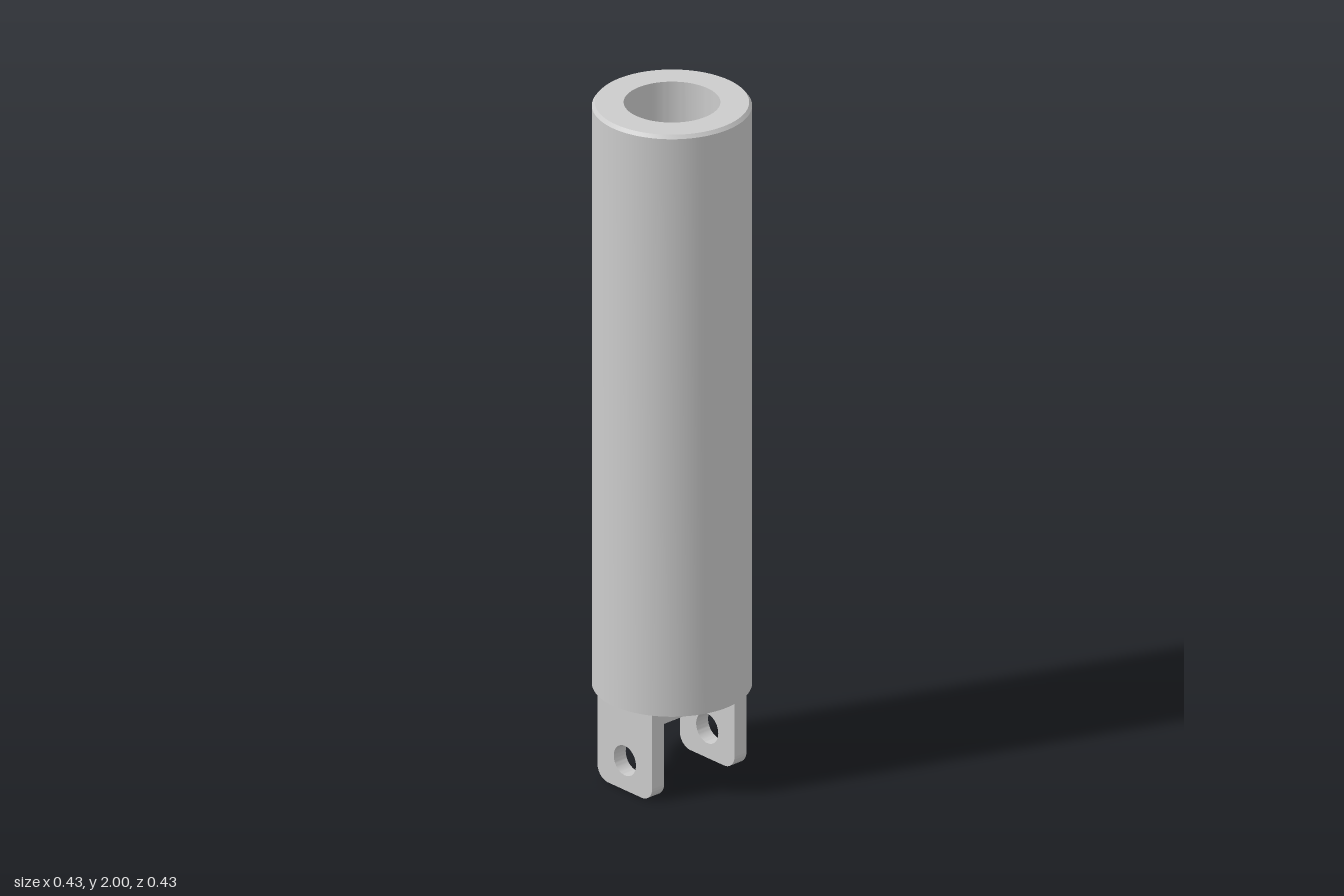
import * as THREE from 'three';
import { toCreasedNormals } from 'three/addons/utils/BufferGeometryUtils.js';

const R = 0.217, BORE = 0.131, HOLE = 0.044;   // barrel, bore and bolt hole radii
const BASE = 0.265, FLOOR = 0.35;              // underside of barrel, floor of bore
const HALF_W = 0.109, LEG_IN = 0.13, THICK = 0.044;

export function createModel() {
  const group = new THREE.Group();
  const material = new THREE.MeshStandardMaterial({ color: 0xcccccc });

  const add = (name, geometry) => {
    const mesh = new THREE.Mesh(toCreasedNormals(geometry, 0.5), material);
    mesh.name = name;
    group.add(mesh);
    return mesh;
  };

  const extrudeWithHole = (shape, x, y) => {
    shape.holes.push(new THREE.Path().absarc(x, y, HOLE, 0, Math.PI * 2, true));
    return new THREE.ExtrudeGeometry(shape, { depth: THICK, bevelEnabled: false, curveSegments: 24 });
  };

  // Barrel: blind bore from above, chamfered rim, bolt hole through the floor
  const profile = [
    [HOLE, BASE], [R, BASE], [R, 1.99], [R - 0.008, 2], [BORE, 2],
    [BORE, FLOOR], [HOLE, FLOOR], [HOLE, BASE],
  ].map(([x, y]) => new THREE.Vector2(x, y));
  add('barrel', new THREE.LatheGeometry(profile, 96));

  // Clevis web: flat plate under the barrel, with the same bolt hole
  const web = new THREE.Shape([
    [-HALF_W, -LEG_IN], [HALF_W, -LEG_IN], [HALF_W, LEG_IN], [-HALF_W, LEG_IN],
  ].map(([x, y]) => new THREE.Vector2(x, y)));
  const webGeometry = extrudeWithHole(web, 0, 0);
  webGeometry.rotateX(-Math.PI / 2).translate(0, BASE - THICK, 0);
  add('clevisWeb', webGeometry);

  // Clevis legs: rounded lower corners and a pin hole
  const r = 0.042;
  for (const [name, z] of [['frontClevisLeg', LEG_IN], ['backClevisLeg', -LEG_IN - THICK]]) {
    const leg = new THREE.Shape();
    leg.moveTo(HALF_W, BASE);
    leg.lineTo(-HALF_W, BASE);
    leg.lineTo(-HALF_W, r);
    leg.absarc(-HALF_W + r, r, r, Math.PI, Math.PI * 1.5, false);
    leg.lineTo(HALF_W - r, 0);
    leg.absarc(HALF_W - r, r, r, -Math.PI / 2, 0, false);
    leg.closePath();
    add(name, extrudeWithHole(leg, 0, 0.088)).position.z = z;
  }

  return group;
}
